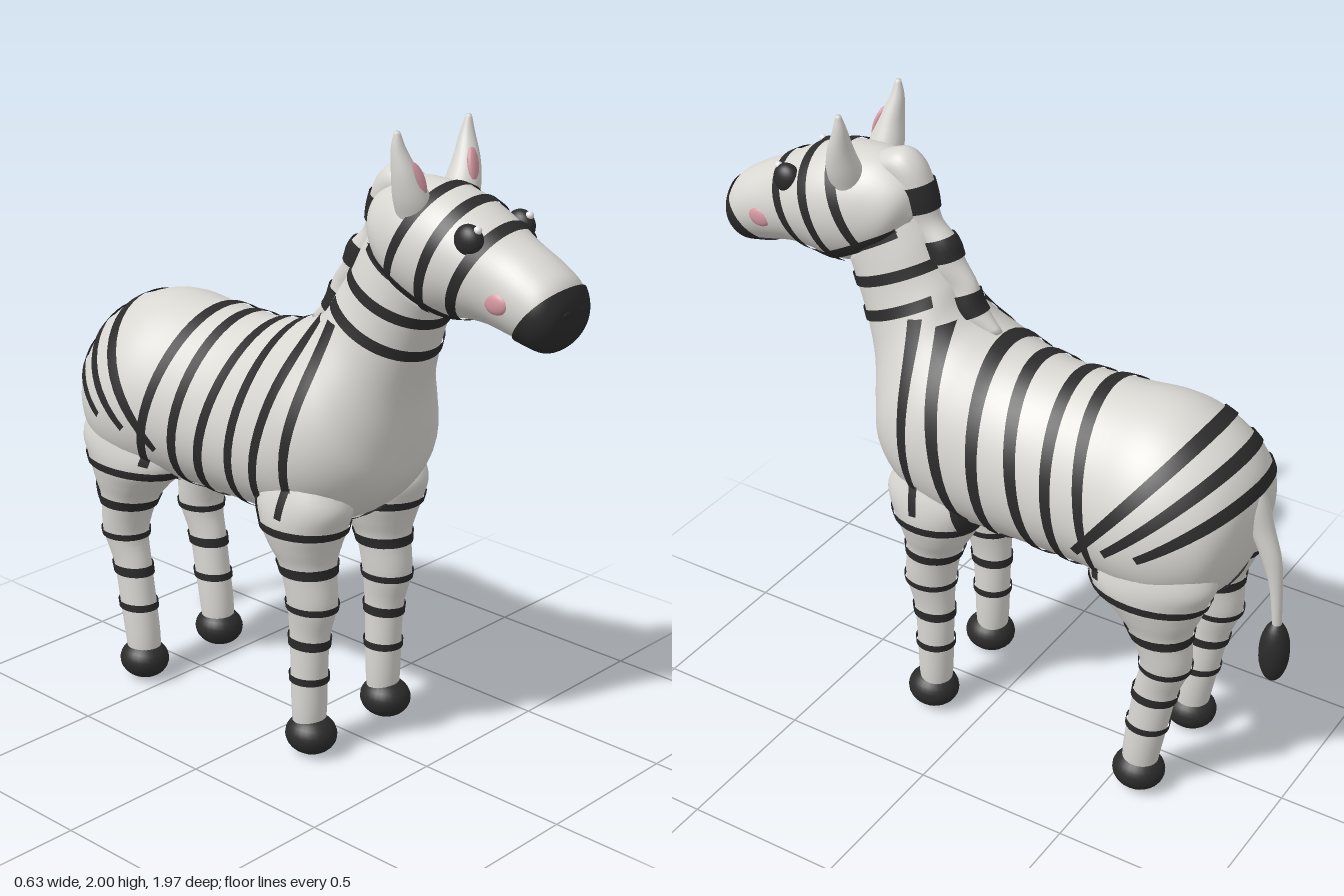
import * as THREE from 'three';

const mat = (name, color, opts = {}) => Object.assign(new THREE.MeshStandardMaterial({ color, ...opts }), { name });

// Closed smooth skin through oval sections: [z, y of one edge, z, y of the opposite edge, half width, centre x]
function loft(sections, rings = 40, sides = 36, egg = 0) {
  const curveA = new THREE.CatmullRomCurve3(sections.map(s => new THREE.Vector3(s[0], s[1], s[2])), false, 'catmullrom', 0.5);
  const curveB = new THREE.CatmullRomCurve3(sections.map(s => new THREE.Vector3(s[3], s[4], s[5] || 0)), false, 'catmullrom', 0.5);
  const pos = [], idx = [], ends = [];
  for (let i = 0; i <= rings; i++) {
    const a = curveA.getPoint(i / rings), b = curveB.getPoint(i / rings);
    const mz = (a.x + a.z) / 2, my = (a.y + b.x) / 2;
    if (i === 0 || i === rings) ends.push([b.z, my, mz]);
    for (let j = 0; j < sides; j++) {
      const t = (j / sides) * Math.PI * 2, c = Math.cos(t);
      pos.push(b.z + b.y * Math.sin(t) * (1 - egg * c), my + (a.y - my) * c, mz + (a.x - mz) * c);
      if (i < rings) {
        const p = i * sides + j, q = i * sides + (j + 1) % sides;
        idx.push(p, q, p + sides, q, q + sides, p + sides);
      }
    }
  }
  // Which way the skin faces is the same for every part, so fix the winding once here
  const first = pos.length / 3, last = first + 1, base = rings * sides;
  pos.push(...ends[0], ...ends[1]);
  for (let j = 0; j < sides; j++) {
    const k = (j + 1) % sides;
    idx.push(first, k, j, last, base + j, base + k);
  }
  for (let i = 0; i < rings * sides * 6; i += 3) [idx[i + 1], idx[i + 2]] = [idx[i + 2], idx[i + 1]];
  for (let i = rings * sides * 6; i < idx.length; i += 3) [idx[i + 1], idx[i + 2]] = [idx[i + 2], idx[i + 1]];
  const g = new THREE.BufferGeometry();
  g.setAttribute('position', new THREE.Float32BufferAttribute(pos, 3));
  g.setIndex(idx);
  // Turn the skin outwards if its enclosed volume is negative
  let volume = 0;
  const at = i => new THREE.Vector3().fromArray(pos, i * 3);
  for (let i = 0; i < idx.length; i += 3) volume += at(idx[i]).dot(at(idx[i + 1]).cross(at(idx[i + 2])));
  if (volume < 0) {
    for (let i = 0; i < idx.length; i += 3) [idx[i + 1], idx[i + 2]] = [idx[i + 2], idx[i + 1]];
    g.setIndex(idx);
  }
  g.computeVertexNormals();
  return g;
}

// Painted bands: the part of a skin lying within side-on strokes [z0, y0, z1, y1, half width, end half width]
function bands(skin, strokes, lift = 0.006) {
  const P = skin.attributes.position, N = skin.attributes.normal, I = skin.index;
  const pos = [], nor = [];
  for (const [z0, y0, z1, y1, w0, w1 = w0] of strokes) {
    const len = Math.hypot(z1 - z0, y1 - y0), dz = (z1 - z0) / len, dy = (y1 - y0) / len;
    const along = v => (v[2] - z0) * dz + (v[1] - y0) * dy;
    const across = v => (v[1] - y0) * dz - (v[2] - z0) * dy;
    const half = v => w0 + (w1 - w0) * along(v) / len;
    const limits = [along, v => len - along(v), v => half(v) - across(v), v => half(v) + across(v)];
    for (let i = 0; i < I.count; i += 3) {
      let poly = [0, 1, 2].map(k => {
        const n = I.getX(i + k);
        return [P.getX(n), P.getY(n), P.getZ(n), N.getX(n), N.getY(n), N.getZ(n)];
      });
      for (const f of limits) {
        const out = [];
        poly.forEach((a, k) => {
          const b = poly[(k + 1) % poly.length], fa = f(a), fb = f(b);
          if (fa >= 0) out.push(a);
          if (fa * fb < 0) out.push(a.map((x, m) => x + (b[m] - x) * fa / (fa - fb)));
        });
        poly = out;
      }
      for (let k = 1; k + 1 < poly.length; k++) {
        for (const v of [poly[0], poly[k], poly[k + 1]]) {
          pos.push(v[0] + v[3] * lift, v[1] + v[4] * lift, v[2] + v[5] * lift);
          nor.push(v[3], v[4], v[5]);
        }
      }
    }
  }
  const g = new THREE.BufferGeometry();
  g.setAttribute('position', new THREE.Float32BufferAttribute(pos, 3));
  g.setAttribute('normal', new THREE.Float32BufferAttribute(nor, 3));
  return g;
}

export function createModel() {
  const model = new THREE.Group();
  model.name = 'stripedHorse';
  const white = mat('coatWhite', 0xd9d7d2), black = mat('stripeBlack', 0x2b2b2b, { side: THREE.DoubleSide });
  const pink = mat('softPink', 0xd598a2), shine = mat('eyeShine', 0xf4f4f4);

  const add = (name, geo, material) => {
    const m = new THREE.Mesh(geo, material);
    m.name = name;
    model.add(m);
    return m;
  };
  const striped = (name, geo, strokes) => {
    add(name, geo, white);
    add(name + 'Stripes', bands(geo, strokes), black);
  };
  const ball = (name, material, p, r, turn = [0, 0, 0]) => {
    const m = add(name, new THREE.SphereGeometry(1, 24, 16), material);
    m.position.set(...p);
    m.scale.set(...r);
    m.rotation.set(...turn);
  };
  // Upright limbs given as [y, front z, back z, half width, centre x]
  const limb = (rows, s = 1) => rows.map(([y, f, b, w, x = 0.17]) => [f, y, b, y, w, x * s]);

  // Body and neck
  const flank = [
    [0.233, 1.40, 0.155, 0.81, 0.021, 0.013], [0.153, 1.39, 0.01, 0.77, 0.021, 0.016],
    [0.005, 1.38, -0.10, 0.72, 0.021, 0.016], [-0.10, 1.36, -0.254, 0.72, 0.02, 0.018],
    [-0.248, 1.33, -0.35, 0.73, 0.021, 0.016], [-0.348, 1.33, -0.47, 0.80, 0.022, 0.014],
    [-0.72, 1.287, -0.40, 0.88, 0.023, 0.014], [-0.82, 1.225, -0.513, 0.93, 0.022, 0.012],
    [-0.87, 1.125, -0.62, 0.95, 0.022, 0.012],
    [0.31, 0.765, 0, 0.765, 0.013], [-0.40, 0.765, -0.82, 0.765, 0.013],
  ];
  const throat = [[0.62, 1.484, 0.328, 1.64, 0.016], [0.54, 1.42, 0.22, 1.55, 0.017], [0.51, 1.312, 0.20, 1.45, 0.017]];
  striped('body', loft([
    [-0.862, 1.08, -0.855, 0.97, 0.05], [-0.835, 1.15, -0.83, 0.86, 0.16], [-0.77, 1.225, -0.785, 0.76, 0.24],
    [-0.66, 1.285, -0.68, 0.70, 0.295], [-0.55, 1.308, -0.55, 0.69, 0.308], [-0.40, 1.30, -0.40, 0.71, 0.285],
    [-0.20, 1.295, -0.20, 0.71, 0.272], [-0.06, 1.315, -0.02, 0.715, 0.282], [0.0, 1.335, 0.15, 0.73, 0.295],
    [0.05, 1.355, 0.29, 0.80, 0.292], [0.10, 1.385, 0.38, 0.90, 0.262], [0.14, 1.43, 0.41, 1.02, 0.218],
    [0.17, 1.49, 0.43, 1.17, 0.172], [0.21, 1.55, 0.465, 1.30, 0.147], [0.25, 1.63, 0.50, 1.40, 0.135],
    [0.31, 1.72, 0.53, 1.48, 0.125],
  ], 75, 48, 0.12), [...flank, ...throat]);

  // Head, with dark muzzle and brow bands
  striped('head', loft([
    [0.28, 1.72, 0.33, 1.60, 0.06], [0.31, 1.79, 0.40, 1.53, 0.125], [0.40, 1.84, 0.48, 1.48, 0.155],
    [0.50, 1.845, 0.57, 1.465, 0.168], [0.60, 1.83, 0.65, 1.475, 0.165], [0.70, 1.79, 0.73, 1.475, 0.149],
    [0.80, 1.735, 0.80, 1.46, 0.13], [0.89, 1.69, 0.87, 1.445, 0.124], [0.95, 1.65, 0.92, 1.44, 0.113],
    [0.975, 1.605, 0.962, 1.47, 0.08], [0.982, 1.57, 0.976, 1.51, 0.03],
  ], 60, 48), [
    [0.777, 1.78, 0.624, 1.468, 0.019, 0.014], [0.665, 1.84, 0.534, 1.49, 0.019, 0.014],
    [0.572, 1.86, 0.41, 1.53, 0.019, 0.014], ...throat.slice(0, 2), [1.09, 1.62, 0.865, 1.35, 0.1],
  ]);

  // Bumpy mane crest
  striped('mane', loft([
    [0.02, 1.35, 0.08, 1.32, 0.02], [0.085, 1.42, 0.17, 1.37, 0.045], [0.11, 1.49, 0.22, 1.44, 0.038],
    [0.158, 1.555, 0.26, 1.50, 0.05], [0.18, 1.61, 0.29, 1.57, 0.048], [0.235, 1.67, 0.33, 1.63, 0.043],
    [0.255, 1.75, 0.36, 1.70, 0.055], [0.29, 1.83, 0.38, 1.75, 0.06], [0.345, 1.87, 0.39, 1.76, 0.06],
    [0.41, 1.855, 0.42, 1.76, 0.055], [0.48, 1.82, 0.46, 1.76, 0.03],
  ], 50, 24), [
    [0.05, 1.455, 0.24, 1.375, 0.036], [0.13, 1.61, 0.30, 1.555, 0.035], [0.21, 1.755, 0.39, 1.705, 0.042],
  ]);

  // Tail and tuft
  add('tail', loft(limb([
    [1.13, -0.80, -0.835, 0.025, 0], [1.06, -0.80, -0.875, 0.045, 0], [0.97, -0.83, -0.905, 0.036, 0],
    [0.88, -0.87, -0.934, 0.028, 0], [0.78, -0.905, -0.945, 0.02, 0], [0.63, -0.925, -0.952, 0.015, 0],
  ]), 30, 20), white);
  ball('tailTuft', black, [0, 0.553, -0.935], [0.047, 0.108, 0.047]);

  const frontLeg = [
    [0.95, 0.24, 0.08, 0.05, 0.2], [0.85, 0.31, -0.01, 0.115, 0.172], [0.77, 0.29, 0, 0.125], [0.70, 0.265, 0.03, 0.108],
    [0.63, 0.25, 0.07, 0.085], [0.51, 0.26, 0.095, 0.072], [0.40, 0.235, 0.10, 0.056],
    [0.28, 0.225, 0.105, 0.055], [0.15, 0.22, 0.11, 0.055], [0.06, 0.21, 0.12, 0.05],
  ];
  const hindLeg = [
    [0.98, -0.50, -0.72, 0.05, 0.2], [0.85, -0.42, -0.81, 0.115, 0.175], [0.77, -0.41, -0.79, 0.125], [0.70, -0.48, -0.765, 0.108],
    [0.63, -0.54, -0.74, 0.088], [0.51, -0.585, -0.742, 0.072], [0.40, -0.566, -0.705, 0.056],
    [0.28, -0.55, -0.68, 0.055], [0.15, -0.535, -0.655, 0.055], [0.06, -0.535, -0.64, 0.05],
  ];
  const ear = [
    [2.0, 0.485, 0.468, 0.008, 0.152], [1.95, 0.50, 0.456, 0.022, 0.146], [1.88, 0.53, 0.45, 0.04, 0.13],
    [1.81, 0.55, 0.44, 0.052, 0.108], [1.75, 0.55, 0.44, 0.05, 0.09],
  ];
  const rings = [[0.628, 0.017], [0.505, 0.011], [0.383, 0.016], [0.26, 0.012]];

  for (const s of [1, -1]) {
    const side = s > 0 ? 'left' : 'right';
    // Legs with rings, and rounded hooves
    for (const [name, rows, z] of [['FrontLeg', frontLeg, 0.175], ['HindLeg', hindLeg, -0.588]]) {
      striped(side + name, loft(limb(rows, s), 45, 28),
        [...flank, ...rings.map(([y, w]) => [z - 0.3, y, z + 0.3, y, w])]);
      ball(side + name + 'Hoof', black, [s * 0.172, 0.066, z], [0.078, 0.064, 0.084]);
    }
    // Ears, eyes, cheeks and nostrils
    add(side + 'Ear', loft(limb(ear, s), 24, 24), white);
    ball(side + 'InnerEar', pink, [s * 0.122, 1.865, 0.523], [0.028, 0.056, 0.014], [-0.25, s * 0.25, -s * 0.2]);
    ball(side + 'Eye', black, [s * 0.112, 1.728, 0.705], [0.034, 0.047, 0.046]);
    ball(side + 'EyeShine', shine, [s * 0.112, 1.762, 0.735], [0.012, 0.012, 0.012]);
    ball(side + 'Cheek', pink, [s * 0.122, 1.575, 0.812], [0.014, 0.031, 0.04]);
    ball(side + 'Nostril', black, [s * 0.03, 1.56, 0.982], [0.018, 0.012, 0.006]);
  }
  return model;
}
